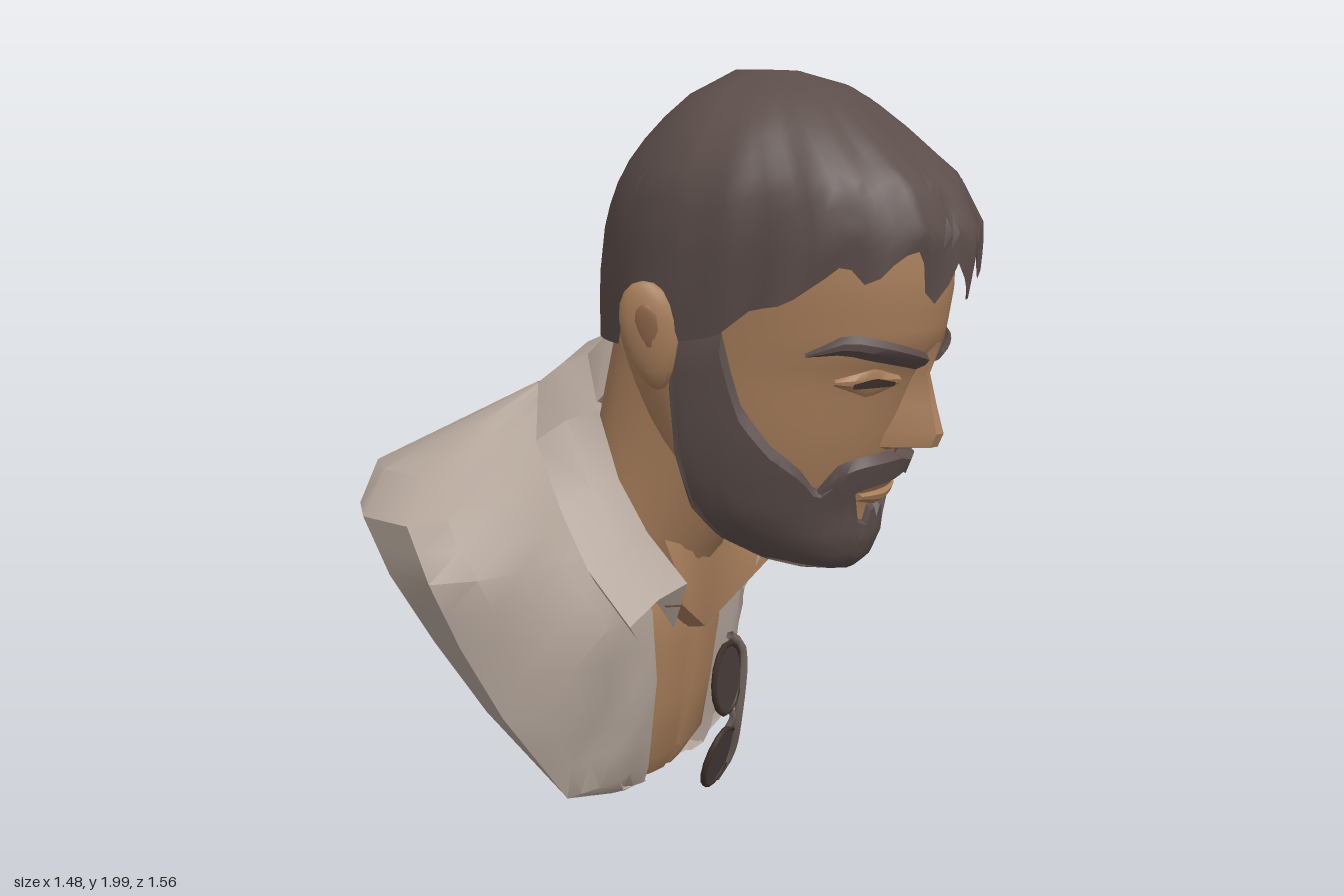
import * as THREE from 'three';
import { toCreasedNormals } from 'three/addons/utils/BufferGeometryUtils.js';

const mat = (name, color) => Object.assign(
  new THREE.MeshStandardMaterial({ color, side: THREE.DoubleSide }), { name });

// Linear lookup in rows [key, value, value...]
function lookup(rows, k) {
  if (k <= rows[0][0]) return rows[0].slice(1);
  for (let i = 1; i < rows.length; i++) {
    const a = rows[i - 1], b = rows[i];
    if (k <= b[0]) {
      const f = (k - a[0]) / (b[0] - a[0]);
      return a.slice(1).map((v, j) => v + (b[j + 1] - v) * f);
    }
  }
  return rows[rows.length - 1].slice(1);
}

// Skin a list of equal-length rows of [x, y, z] points
function loft(rows) {
  const n = rows[0].length, index = [];
  for (let r = 0; r < rows.length - 1; r++)
    for (let c = 0; c < n - 1; c++) {
      const a = r * n + c, b = a + n;
      index.push(a, a + 1, b, a + 1, b + 1, b);
    }
  const g = new THREE.BufferGeometry();
  g.setAttribute('position', new THREE.Float32BufferAttribute(rows.flat(2), 3));
  g.setIndex(index);
  return toCreasedNormals(g, 0.6);
}

// Horizontal head sections: y, back x, widest x, front x, half width
const HEAD = [
  [0.735, 0.345, 0.35, 0.355, 0.005], [0.75, 0.27, 0.34, 0.395, 0.06], [0.78, 0.18, 0.27, 0.43, 0.13],
  [0.84, 0.1, 0.17, 0.455, 0.2], [0.92, 0.04, 0.12, 0.46, 0.255], [1.02, 0.0, 0.1, 0.5, 0.285],
  [1.1, -0.1, 0.1, 0.53, 0.3], [1.2, -0.17, 0.1, 0.56, 0.31], [1.29, -0.21, 0.1, 0.59, 0.315],
  [1.35, -0.23, 0.1, 0.64, 0.32], [1.5, -0.24, 0.1, 0.665, 0.335], [1.65, -0.22, 0.1, 0.65, 0.34],
  [1.8, -0.12, 0.1, 0.55, 0.29], [1.9, -0.02, 0.12, 0.4, 0.19], [1.96, 0.08, 0.14, 0.26, 0.06]];
const HAIR = [
  [1.3, -0.28, 0.1, 0.67, 0.345], [1.48, -0.272, 0.1, 0.71, 0.365], [1.63, -0.25, 0.12, 0.73, 0.372],
  [1.75, -0.2, 0.13, 0.67, 0.36], [1.86, -0.115, 0.14, 0.53, 0.3], [1.94, -0.025, 0.15, 0.42, 0.215],
  [1.985, 0.035, 0.16, 0.33, 0.13], [2.0, 0.08, 0.16, 0.24, 0.03]];
const ZC = 0.035;

// Point on a head section; angle 0 looks forward along +x
function onHead(table, y, t, off = 0) {
  const [xb, xm, xf, hw] = lookup(table, y), c = Math.cos(t);
  return [xm + (c > 0 ? xf - xm + off : xm - xb + off) * c, y, ZC + (hw + off) * Math.sin(t)];
}

// Patch of the head between two height curves; off gives the lift per angle and row
function patch(table, t0, t1, cols, rows, lo, hi, off) {
  const grid = [];
  for (let r = 0; r <= rows; r++) {
    const row = [];
    for (let c = 0; c <= cols; c++) {
      const t = t0 + (t1 - t0) * c / cols, a = lo(t), b = hi(t);
      row.push(onHead(table, a + (b - a) * r / rows, t, off(t, r)));
    }
    grid.push(row);
  }
  return loft(grid);
}

export function createModel() {
  const model = new THREE.Group();
  const skin = mat('skin', 0xa87e5b), shade = mat('skin shade', 0x8d6548);
  const hair = mat('dark hair', 0x5b4d4a), cloth = mat('shirt cloth', 0xb0a297);
  const dark = mat('eye dark', 0x3f312b), crease = mat('cloth crease', 0x857b74);
  const lens = mat('lens', 0x493e3c), metal = mat('frame metal', 0x75675f);
  const add = (name, geo, m) => {
    const mesh = new THREE.Mesh(geo, m);
    mesh.name = name;
    model.add(mesh);
    return mesh;
  };
  const abs = keys => t => lookup(keys, Math.abs(t))[0];
  const PI = Math.PI;

  // Head
  add('head', patch(HEAD, -PI, PI, 40, 28, () => 0.735, () => 1.96, () => 0), skin);

  // Hair cap with jagged fringe, cut round the ears
  const fringe = [[-0.62, 1.57], [-0.52, 1.61], [-0.4, 1.52], [-0.3, 1.49], [-0.22, 1.57], [-0.12, 1.55],
    [0.0, 1.46], [0.08, 1.47], [0.17, 1.57], [0.22, 1.54], [0.3, 1.46], [0.36, 1.47], [0.47, 1.6], [0.62, 1.58]];
  const sides = abs([[0.62, 1.57], [0.74, 1.51], [0.85, 1.57], [1.1, 1.47], [1.25, 1.45], [1.4, 1.38],
    [1.58, 1.36], [1.66, 1.48], [1.85, 1.5], [2.03, 1.47], [2.12, 1.33], [3.14, 1.32]]);
  const hairLow = t => Math.abs(t) < 0.62 ? lookup(fringe, t)[0] : sides(t);
  const locks = (t, r) => Math.abs(t) < 1.4
    ? 0.012 * (1 - r / 12) * (Math.sin(t * 13 + r * 0.4) + 0.5 * Math.sin(t * 29)) : 0;
  add('hair', patch(HAIR, -PI, PI, 100, 12, hairLow, () => 1.998, locks), hair);
  add('crown', loft([0, 0.5, 1].map(k => Array.from({ length: 17 }, (_, i) => {
    const [x, , z] = onHead(HAIR, 1.998, i / 8 * PI);
    return [0.16 + (x - 0.16) * k, 2 - k * 0.002, ZC + (z - ZC) * k];
  }))), hair);

  // Beard with sideburns, moustache and lips
  const beardTop = abs([[0, 0.9], [0.06, 0.93], [0.14, 0.925], [0.18, 0.885], [0.32, 0.9], [0.42, 1.03],
    [0.6, 1.02], [0.72, 0.98], [0.85, 1.04], [1.08, 1.11], [1.25, 1.2], [1.32, 1.29], [1.36, 1.39],
    [1.66, 1.39], [1.78, 1.04], [2.0, 0.87], [3.14, 0.85]]);
  add('beard', patch(HEAD, -PI, PI, 100, 12, () => 0.735, beardTop,
    (t, r) => (r === 0 ? 0.005 : r === 12 ? 0.006 : 0.022)), hair);
  add('moustache', patch(HEAD, -0.72, 0.72, 24, 4,
    abs([[0, 1.02], [0.1, 1.0], [0.4, 0.98], [0.55, 0.94], [0.72, 0.93]]),
    abs([[0, 1.055], [0.12, 1.075], [0.5, 1.065], [0.6, 1.05], [0.72, 0.99]]),
    (t, r) => (r === 4 ? 0.01 : 0.06 - 0.045 * Math.abs(t) / 0.72)), hair);
  add('upperLip', patch(HEAD, -0.36, 0.36, 8, 2, () => 0.968, () => 1.01, () => 0.022), shade);
  add('lowerLip', patch(HEAD, -0.34, 0.34, 8, 3, abs([[0, 0.92], [0.34, 0.945]]), () => 0.968,
    (t, r) => (r % 3 ? 0.03 : 0.01)), skin);

  // Nose: y, base x, ridge x, half width
  const nose = [[1.35, 0.61, 0.645, 0.035], [1.27, 0.56, 0.615, 0.03], [1.19, 0.54, 0.635, 0.045],
    [1.12, 0.52, 0.655, 0.07], [1.085, 0.51, 0.64, 0.072], [1.07, 0.5, 0.52, 0.05]];
  add('nose', loft(nose.map(([y, b, r, w]) =>
    [[-1, 0], [-0.75, 0.4], [-0.3, 0.92], [0, 1], [0.3, 0.92], [0.75, 0.4], [1, 0]]
      .map(([u, v]) => [b + (r - b) * v, y, ZC - 0.005 + u * w]))), skin);

  // Ear shape, narrower at the lobe
  const earGeo = new THREE.SphereGeometry(1, 14, 10);
  const ep = earGeo.attributes.position;
  for (let i = 0; i < ep.count; i++) ep.setX(i, ep.getX(i) * (0.85 + 0.2 * ep.getY(i)) - 0.1 * ep.getY(i));

  for (const s of [1, -1]) {
    const side = s > 0 ? 'left' : 'right';
    // Brows and eyes
    const brow = abs([[0.13, 1.305], [0.6, 1.352], [0.78, 1.368], [0.98, 1.34]]);
    const half = abs([[0.13, 0.02], [0.6, 0.028], [0.78, 0.026], [0.98, 0.005]]);
    add(side + 'Brow', patch(HEAD, s * 0.13, s * 0.98, 10, 3, t => brow(t) - half(t), t => brow(t) + half(t),
      (t, r) => (r % 3 ? 0.03 : 0.012)), hair);
    add(side + 'EyeLid', patch(HEAD, s * 0.27, s * 0.75, 8, 3, abs([[0.27, 1.25], [0.5, 1.225], [0.75, 1.26]]),
      abs([[0.27, 1.275], [0.5, 1.3], [0.75, 1.275]]), (t, r) => (r % 3 ? 0.014 : 0.002)), skin);
    add(side + 'Eye', patch(HEAD, s * 0.33, s * 0.64, 6, 1, () => 1.252,
      abs([[0.33, 1.262], [0.5, 1.277], [0.64, 1.264]]), () => 0.018), dark);

    // Ears
    const ear = add(side + 'Ear', earGeo, skin);
    ear.scale.set(0.085, 0.14, 0.042);
    ear.position.set(0.025, 1.37, ZC + s * 0.355);
    ear.rotation.set(s * 0.15, s * 0.3, 0);
    const hollow = add(side + 'EarHollow', earGeo, shade);
    hollow.scale.set(0.035, 0.065, 0.012);
    hollow.position.set(0.035, 1.39, ZC + s * 0.388);
    hollow.rotation.copy(ear.rotation);
  }

  // Neck: front x, y, back x, y, half width
  const neck = [[0.16, 0.97, -0.25, 1.38, 0.24], [0.1, 0.85, -0.285, 1.22, 0.235], [0.0, 0.74, -0.31, 1.07, 0.245],
    [-0.06, 0.6, -0.33, 0.9, 0.25], [-0.13, 0.48, -0.3, 0.8, 0.18]];
  add('neck', loft(neck.map(([fx, fy, bx, by, w]) => Array.from({ length: 25 }, (_, i) => {
    const a = i / 24 * PI * 2, k = (1 + Math.cos(a)) / 2;
    return [bx + (fx - bx) * k, by + (fy - by) * k, 0.01 + w * Math.sin(a)];
  }))), skin);
  // Pointed neckline below the throat
  const vee = [-1, -0.75, -0.5, -0.25, 0, 0.25, 0.5, 0.75, 1];
  add('neckline', loft([
    vee.map(u => [-0.01 - 0.03 * u * u, 0.75 + 0.05 * u * u, u * 0.22 - 0.01]),
    vee.map(u => [-0.02 + 0.04 * u * u, 0.62 + 0.07 * Math.abs(u), u * 0.245 - 0.015]),
    vee.map(u => [-0.045 + 0.07 * Math.abs(u), 0.5 + 0.14 * Math.abs(u), u * 0.255 - 0.02]),
    vee.map(u => [-0.1 + 0.07 * Math.abs(u), 0.49 + 0.14 * Math.abs(u), u * 0.255 - 0.02])]), skin);

  // Shirt sections: y, back x, side x, front x, half width, opening half width
  const body = [[0.078, -0.18, -0.175, -0.17, 0.2, 0.13], [0.09, -0.205, -0.18, -0.155, 0.26, 0.17],
    [0.14, -0.235, -0.2, -0.135, 0.45, 0.18], [0.4, -0.39, -0.28, -0.095, 0.62, 0.2],
    [0.6, -0.51, -0.34, -0.09, 0.71, 0.23], [0.78, -0.615, -0.38, -0.165, 0.78, 0.25],
    [0.92, -0.7, -0.44, -0.265, 0.78, 0.24], [1.0, -0.745, -0.51, -0.33, 0.61, 0.2],
    [1.1, -0.585, -0.49, -0.41, 0.36, 0.14], [1.17, -0.47, -0.45, -0.43, 0.16, 0.06]];
  const levels = [0.078, 0.09, 0.14, 0.23, 0.31, 0.4, 0.5, 0.6, 0.69, 0.78, 0.85, 0.92, 1.0, 1.05, 1.1, 1.17];
  add('shirt', loft(levels.map((y, r) => {
    const [xb, xs, xf, w, o] = lookup(body, y);
    const half = s => {
      const fold = k => (r > 1 && r < 11 ? 0.013 * Math.sin(r * 1.3 + k * 2.1 + s) : 0);
      return [[xf - 0.03, o], [xf + 0.012, o], [xf + fold(1), o + (w - o) * 0.18],
        [xf - 0.02 + fold(2), o + (w - o) * 0.38], [xf + (xs - xf) * 0.35 + fold(3), o + (w - o) * 0.62],
        [xf + (xs - xf) * 0.65 + fold(4), o + (w - o) * 0.84], [xs, w], [xb * 0.6 + xs * 0.4, w * 0.96],
        [xb + 0.012, w * 0.82], [xb, w * 0.45]].map(([x, z]) => [x, y, s * z - (z === o ? 0.02 : 0)]);
    };
    return [...half(1), ...half(-1).reverse()];
  })), cloth);

  // Bare chest in the shirt opening
  add('chest', loft([0.078, 0.14, 0.3, 0.45, 0.6, 0.78].map(y => {
    const [, , xf, , o] = lookup(body, y);
    return [-1, -0.6, -0.15, 0, 0.15, 0.6, 1].map(u =>
      [xf - 0.02 + 0.025 * (1 - u * u) - (u === 0 ? 0.008 : 0), y, u * o - 0.02]);
  })), skin);

  // Folded collar: inner band, top edge and outer flap on each side
  const edge = [[-0.33, 1.29, 0], [-0.31, 1.255, 0.14], [-0.2, 1.14, 0.27], [-0.13, 0.97, 0.29],
    [-0.06, 0.83, 0.265], [0.04, 0.7, 0.235]];
  const hem = [[-0.46, 1.2, 0], [-0.44, 1.175, 0.18], [-0.34, 1.06, 0.35], [-0.23, 0.9, 0.41],
    [-0.14, 0.76, 0.43], [-0.03, 0.62, 0.41]];
  for (const s of [1, -1]) {
    const flip = list => list.map(([x, y, z]) => [x, y, z * s]);
    const inner = edge.map(([x, y, z], i) => [x + 0.02 - i * 0.016, y - 0.14, z * 0.85]);
    const under = hem.map(([x, y, z]) => [x + 0.015, y - 0.035, z * 0.97]);
    const mid = edge.map((p, i) => p.map((v, k) => (v + hem[i][k]) / 2 + (k === 1 ? 0.015 : 0)));
    add(s > 0 ? 'leftCollar' : 'rightCollar', loft([inner, edge, mid, hem, under].map(flip)), cloth);
  }

  // Crease on the upper back
  add('backCrease', loft([[[-0.66, 1.062, -0.18], [-0.62, 1.086, -0.18]],
    [[-0.64, 1.075, -0.08], [-0.55, 1.132, -0.1]], [[-0.56, 1.127, -0.01], [-0.47, 1.182, 0]]]), crease);

  // Sunglasses hanging at the chest
  [[0.02, 0.36, -0.025, 0.075, 0.1, -0.02], [-0.025, 0.115, -0.06, 0.072, 0.092, -0.32]].forEach(
    ([x, y, z, w, h, tilt]) => {
      const glass = new THREE.CylinderGeometry(1, 1, 0.008, 10).rotateZ(PI / 2).scale(1, h, w);
      const rim = new THREE.TorusGeometry(1, 0.09, 5, 14).rotateY(PI / 2).scale(0.1, h, w);
      for (const [name, g, m] of [['lens', glass, lens], ['rim', rim, dark]]) {
        const part = add(name, g, m);
        part.position.set(x, y, z);
        part.rotation.z = tilt;
      }
    });
  const tube = (name, pts, r) => add(name, new THREE.TubeGeometry(
    new THREE.CatmullRomCurve3(pts.map(p => new THREE.Vector3(...p))), 14, r, 5), metal);
  tube('glassesArm', [[0.015, 0.475, -0.05], [0.03, 0.43, -0.095], [0.015, 0.22, -0.1], [-0.025, 0.1, -0.13],
    [-0.07, 0.02, -0.125]], 0.013);
  tube('glassesBridge', [[0.01, 0.27, -0.05], [0.015, 0.235, -0.07], [0.0, 0.2, -0.07]], 0.01);

  return model;
}
